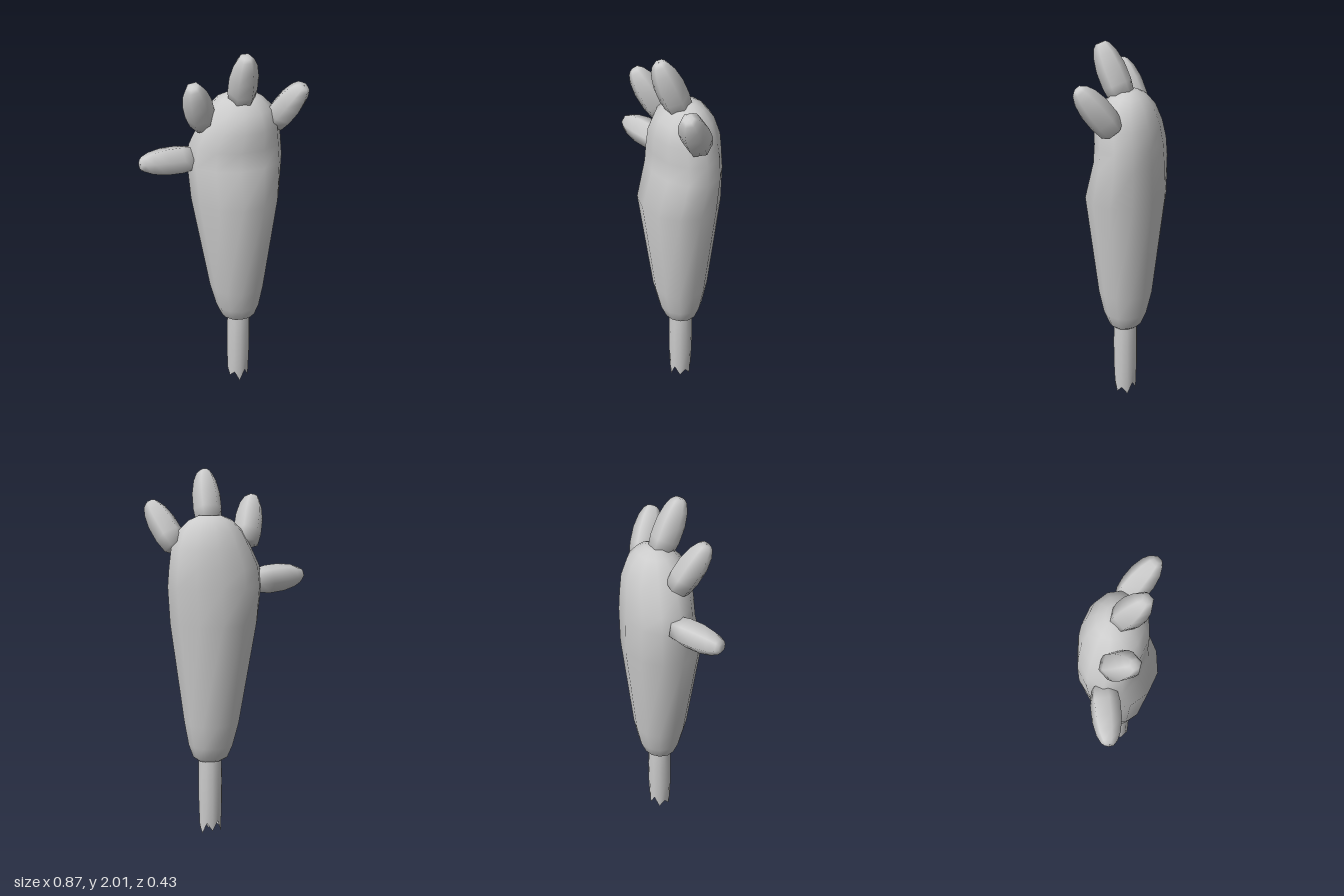
import * as THREE from 'three';

const material = new THREE.MeshStandardMaterial({ color: 0xcccccc, side: THREE.DoubleSide });

// Smooth skin over rings of points, ordered from bottom to top
function loft(rings) {
  const n = rings[0].length, index = [];
  for (let j = 0; j < rings.length - 1; j++) {
    for (let i = 0; i < n; i++) {
      const k = (i + 1) % n;
      const a = j * n + i, b = j * n + k, c = a + n, d = b + n;
      index.push(a, c, b, b, c, d);
    }
  }
  const geometry = new THREE.BufferGeometry();
  geometry.setAttribute('position', new THREE.Float32BufferAttribute(rings.flat(2), 3));
  geometry.setIndex(index);
  geometry.computeVertexNormals();
  return geometry;
}

// Elliptical ring in a horizontal plane
function ring(sides, y, x0, x1, z0, z1) {
  return Array.from({ length: sides }, (_, i) => {
    const a = (i / sides) * Math.PI * 2;
    return [(x0 + x1) / 2 + Math.cos(a) * (x1 - x0) / 2, y, (z0 + z1) / 2 + Math.sin(a) * (z1 - z0) / 2];
  });
}

function part(name, geometry) {
  const mesh = new THREE.Mesh(geometry, material);
  mesh.name = name;
  return mesh;
}

// Stubby six-sided digit running from its base to its tip
function digit(name, base, tip) {
  const from = new THREE.Vector3(...base), axis = new THREE.Vector3(...tip).sub(from);
  const length = axis.length();
  const profile = [[0, 0.001], [0, 0.066], [0.25, 0.077], [0.55, 0.076], [0.8, 0.062], [0.95, 0.042], [1, 0.026], [1, 0.001]];
  const mesh = part(name, loft(profile.map(([t, r]) => ring(6, t * length, -r, r, -r, r))));
  mesh.quaternion.setFromUnitVectors(new THREE.Vector3(0, 1, 0), axis.normalize());
  mesh.position.copy(from);
  return mesh;
}

export function createModel() {
  const model = new THREE.Group();
  model.name = 'handOnBone';

  // Forearm and palm: y, x range, z range
  const sections = [
    [0.43, 0.099, 0.101, -0.001, 0.001],
    [0.43, 0.03, 0.17, -0.06, 0.06],
    [0.45, 0.0, 0.195, -0.09, 0.09],
    [0.52, -0.03, 0.22, -0.12, 0.12],
    [0.65, -0.065, 0.243, -0.15, 0.15],
    [1.2, -0.165, 0.315, -0.212, 0.216],
    [1.4, -0.18, 0.33, -0.207, 0.16],
    [1.5, -0.17, 0.322, -0.2, 0.153],
    [1.6, -0.125, 0.308, -0.187, 0.155],
    [1.69, -0.075, 0.272, -0.155, 0.128],
    [1.745, -0.02, 0.215, -0.11, 0.07],
    [1.77, 0.04, 0.16, -0.065, 0.015],
    [1.77, 0.099, 0.101, -0.026, -0.024],
  ];
  model.add(part('forearmAndPalm', loft(sections.map((s) => ring(12, ...s)))));

  // Digits
  model.add(
    digit('middleFinger', [0.1, 1.73, 0.012], [0.1, 2.0, 0.128]),
    digit('leftFinger', [0.28, 1.61, 0.0], [0.395, 1.835, 0.13]),
    digit('rightFinger', [-0.1, 1.62, 0.0], [-0.165, 1.865, 0.125]),
    digit('thumb', [-0.15, 1.42, -0.027], [-0.432, 1.44, 0.06]),
  );

  // Hollow bone with a splintered lower edge
  const splinters = [0.05, 0.015, 0.07, 0.0, 0.06, 0.025, 0.06, 0.02, 0.085, 0.03, 0.075, 0.01];
  const bone = [[0.05, 0.061], [0.18, 0.066], [0.32, 0.067], [0.46, 0.064]]
    .map(([y, r]) => ring(12, y, 0.1 - r, 0.1 + r, -r, r));
  bone[0].forEach((p, i) => { p[1] = splinters[i]; });
  model.add(part('bone', loft(bone)));

  return model;
}
